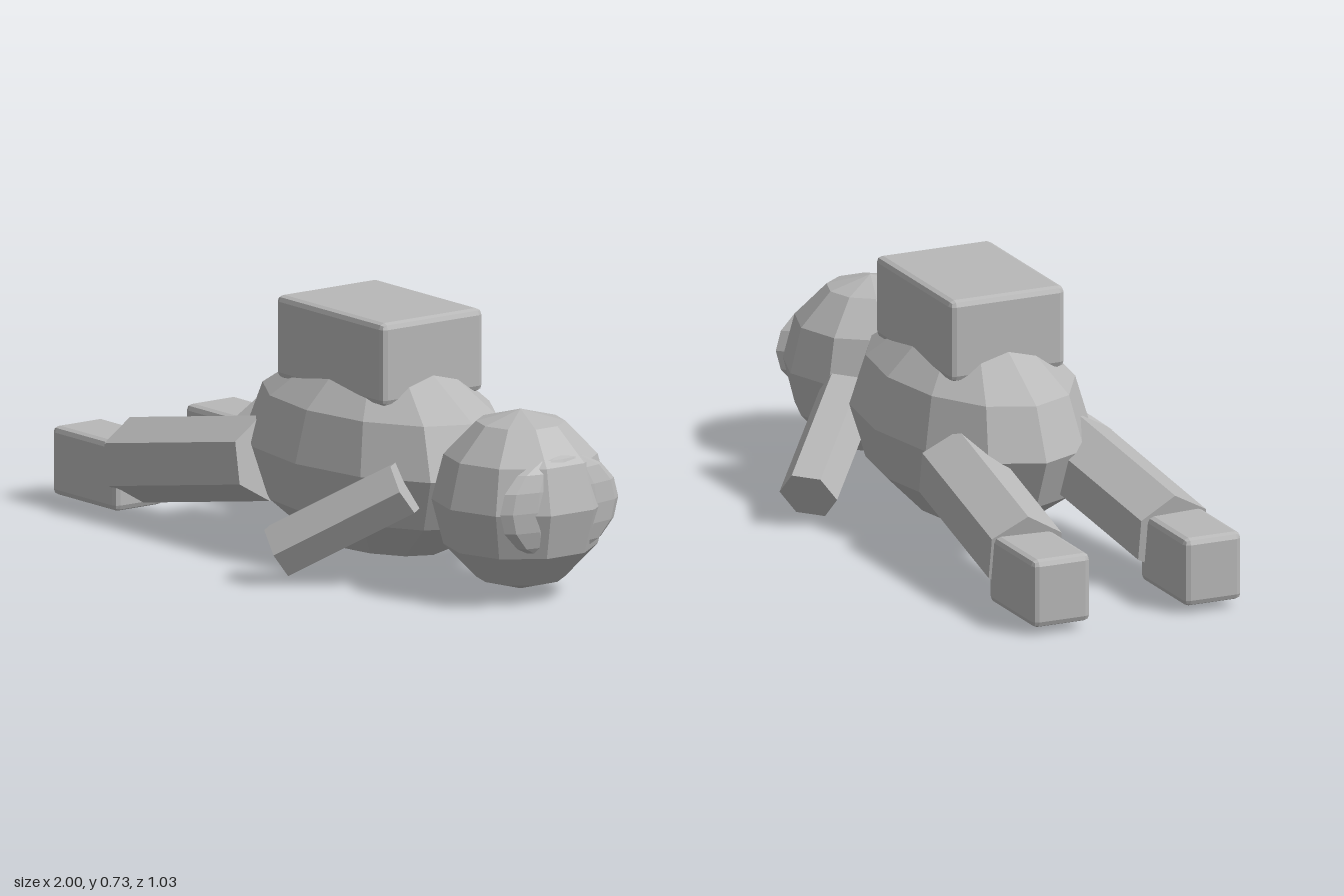
import * as THREE from 'three';
import { RoundedBoxGeometry } from 'three/addons/geometries/RoundedBoxGeometry.js';

const grey = new THREE.MeshStandardMaterial({ color: 0xb8b8b8, flatShading: true });
grey.name = 'grey';

export function createModel() {
  const model = new THREE.Group();
  model.name = 'lyingFigure';

  const add = (name, geometry, position = [0, 0, 0]) => {
    const mesh = new THREE.Mesh(geometry, grey);
    mesh.name = name;
    mesh.position.set(...position);
    model.add(mesh);
    return mesh;
  };

  // Low-poly ellipsoid with its poles on y
  const ellipsoid = (name, center, radii, sides, rows, turn = 0) =>
    add(name, new THREE.SphereGeometry(1, sides, rows).rotateY(turn).scale(...radii), center);

  // Chamfered box
  const block = (name, center, size, bevel) =>
    add(name, new RoundedBoxGeometry(...size, 1, bevel), center);

  // Six-sided limb between two points; one corner lies square to "flat"
  const limb = (name, from, to, radius, flat) => {
    const a = new THREE.Vector3(...from);
    const b = new THREE.Vector3(...to);
    const axis = b.clone().sub(a);
    const length = axis.length();
    axis.normalize();
    const corner = axis.clone().cross(new THREE.Vector3(...flat)).normalize();
    const side = corner.clone().cross(axis);
    const mesh = add(name, new THREE.CylinderGeometry(radius, radius, length, 6));
    // cylinder corners start on local z
    mesh.quaternion.setFromRotationMatrix(
      new THREE.Matrix4().makeBasis(axis.clone().cross(corner), axis, corner));
    if (side.dot(axis) > 0.01) mesh.rotation.set(0, 0, 0);
    mesh.position.copy(a).add(b).multiplyScalar(0.5);
  };

  // Torso, head and face plate
  ellipsoid('torso', [0.1, 0.3, 0], [0.5, 0.3, 0.3], 12, 6);
  ellipsoid('head', [0.755, 0.275, 0], [0.255, 0.26, 0.25], 10, 6, Math.PI / 10);
  ellipsoid('visor', [0.935, 0.285, 0], [0.045, 0.15, 0.21], 12, 8);

  // Pack on the back
  block('backpack', [0.1, 0.61, 0], [0.5, 0.24, 0.36], 0.018);

  // Paired limbs
  for (const s of [1, -1]) {
    const label = s > 0 ? 'front' : 'rear';
    limb(label + 'Arm', [0.22, 0.09, s * 0.45], [0.48, 0.285, s * 0.2], 0.085, [1, 0, 0]);
    limb(label + 'Leg', [-0.74, 0.155, s * 0.23], [-0.19, 0.25, s * 0.185], 0.122, [0, 0, 1]);
    block(label + 'Foot', [-0.85, 0.122, s * 0.237], [0.3, 0.2, 0.18], 0.018);
  }

  return model;
}
